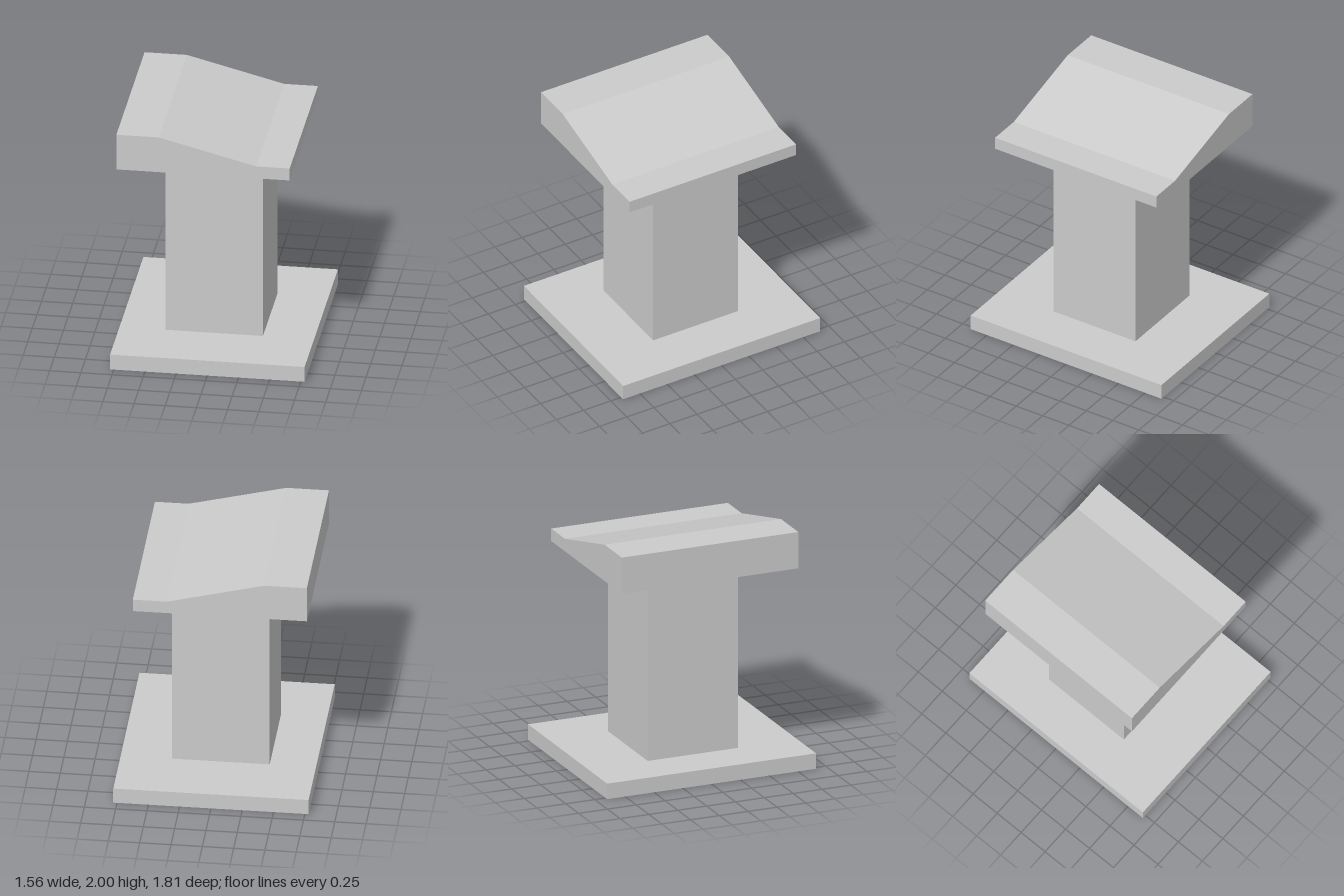
import * as THREE from 'three';

const material = new THREE.MeshStandardMaterial({ color: 0xcccccc, flatShading: true });

// Box given by its extents on each axis
function block(name, [x0, x1], [y0, y1], [z0, z1]) {
  const mesh = new THREE.Mesh(new THREE.BoxGeometry(x1 - x0, y1 - y0, z1 - z0), material);
  mesh.position.set((x0 + x1) / 2, (y0 + y1) / 2, (z0 + z1) / 2);
  mesh.name = name;
  return mesh;
}

// Slanted top: side profile extruded along z
function slantedTop(halfDepth) {
  const profile = new THREE.Shape([
    [-0.75, 1.695], [0.64, 1.695], [0.64, 1.8],
    [0.37, 1.8], [-0.41, 2], [-0.75, 2],
  ].map(([x, y]) => new THREE.Vector2(x, y)));
  const geometry = new THREE.ExtrudeGeometry(profile, { depth: 2 * halfDepth, bevelEnabled: false });
  geometry.translate(0, 0, -halfDepth);
  const mesh = new THREE.Mesh(geometry, material);
  mesh.name = 'slantedTop';
  return mesh;
}

export function createModel() {
  const group = new THREE.Group();
  group.name = 'lectern';
  group.add(
    block('base', [-0.78, 0.78], [0, 0.13], [-0.905, 0.905]),
    block('column', [-0.41, 0.37], [0.13, 1.695], [-0.39, 0.39]),
    slantedTop(0.765),
  );
  return group;
}
